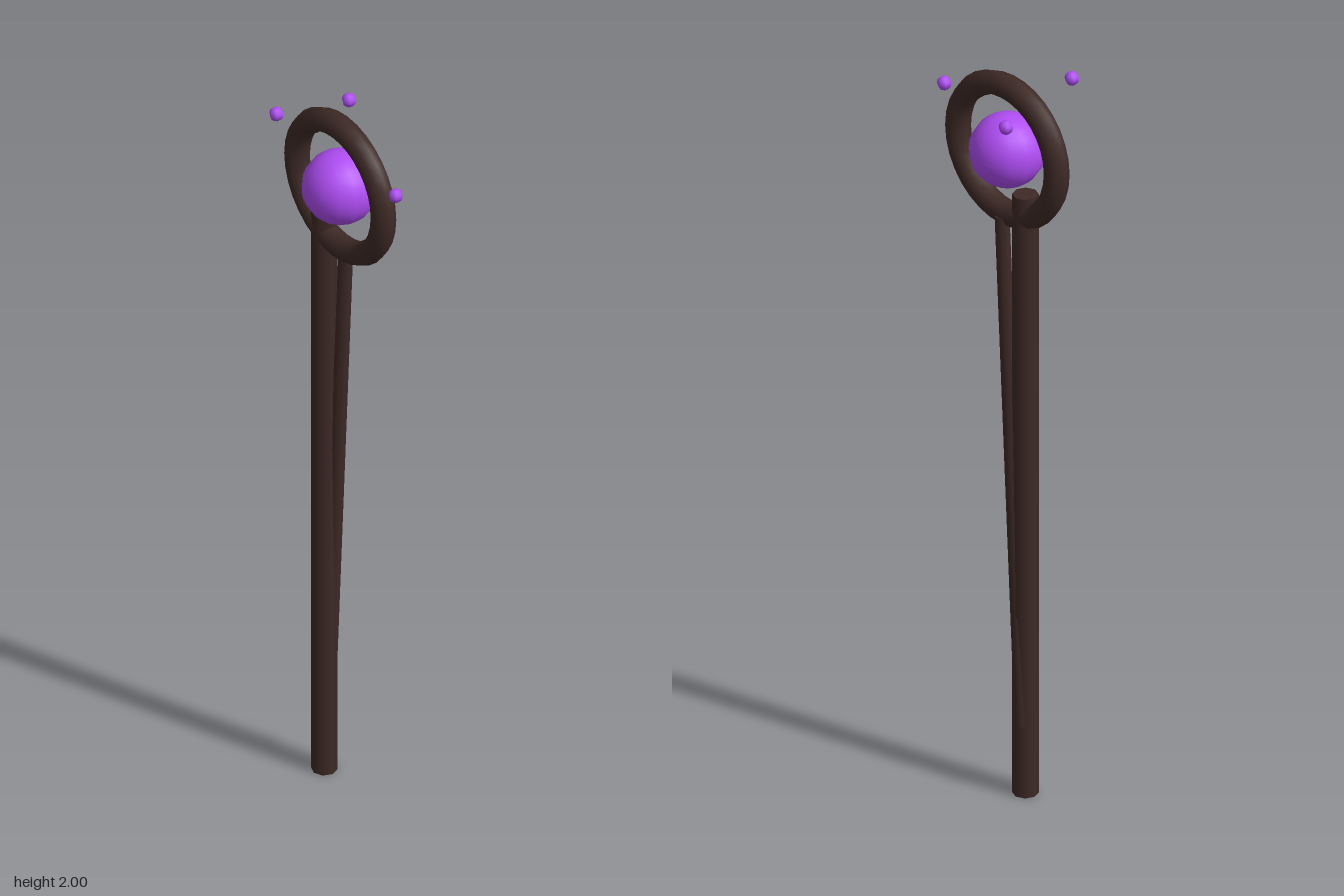
import * as THREE from 'three';

export function createModel() {
  const staff = new THREE.Group();
  staff.name = 'staff';
  const wood = new THREE.MeshStandardMaterial({ color: 0x3e2a26 });
  const crystal = new THREE.MeshStandardMaterial({ color: 0xb04df5 });
  const headX = -0.018, headY = 1.779, midZ = -0.002;

  const add = (name, geometry, material, x, y, z) => {
    const mesh = new THREE.Mesh(geometry, material);
    mesh.name = name;
    mesh.position.set(x, y, z);
    staff.add(mesh);
    return mesh;
  };

  // straight main pole
  add('shaft', new THREE.CylinderGeometry(0.033, 0.033, 1.68, 8), wood, -0.083, 0.84, midZ);

  // thin branch leaning out of the pole to the foot of the ring
  const low = new THREE.Vector3(-0.09, 0.2, -0.02);
  const high = new THREE.Vector3(-0.018, 1.6, -0.02);
  const lean = high.clone().sub(low);
  const centre = low.clone().add(high).multiplyScalar(0.5);
  const branch = add('branch', new THREE.CylinderGeometry(0.0185, 0.0185, lean.length(), 8), wood,
    centre.x, centre.y, centre.z);
  branch.quaternion.setFromUnitVectors(new THREE.Vector3(0, 1, 0), lean.normalize());

  // head ring with the orb floating in it
  add('headRing', new THREE.TorusGeometry(0.177, 0.032, 8, 32), wood, headX, headY, midZ);
  const orb = add('orb', new THREE.SphereGeometry(0.0965, 14, 14), crystal, headX, headY, midZ);
  orb.rotation.y = Math.PI / 2;

  // small floating shards around the head
  const shards = [[0.209, 1.876, -0.002], [-0.13, 1.981, 0.111], [-0.132, 1.928, -0.115]];
  shards.forEach(([x, y, z], i) => {
    const shard = add('floatingShard' + (i + 1), new THREE.SphereGeometry(0.0187, 6, 6), crystal, x, y, z);
    shard.rotation.y = Math.PI / 2;
  });

  return staff;
}
